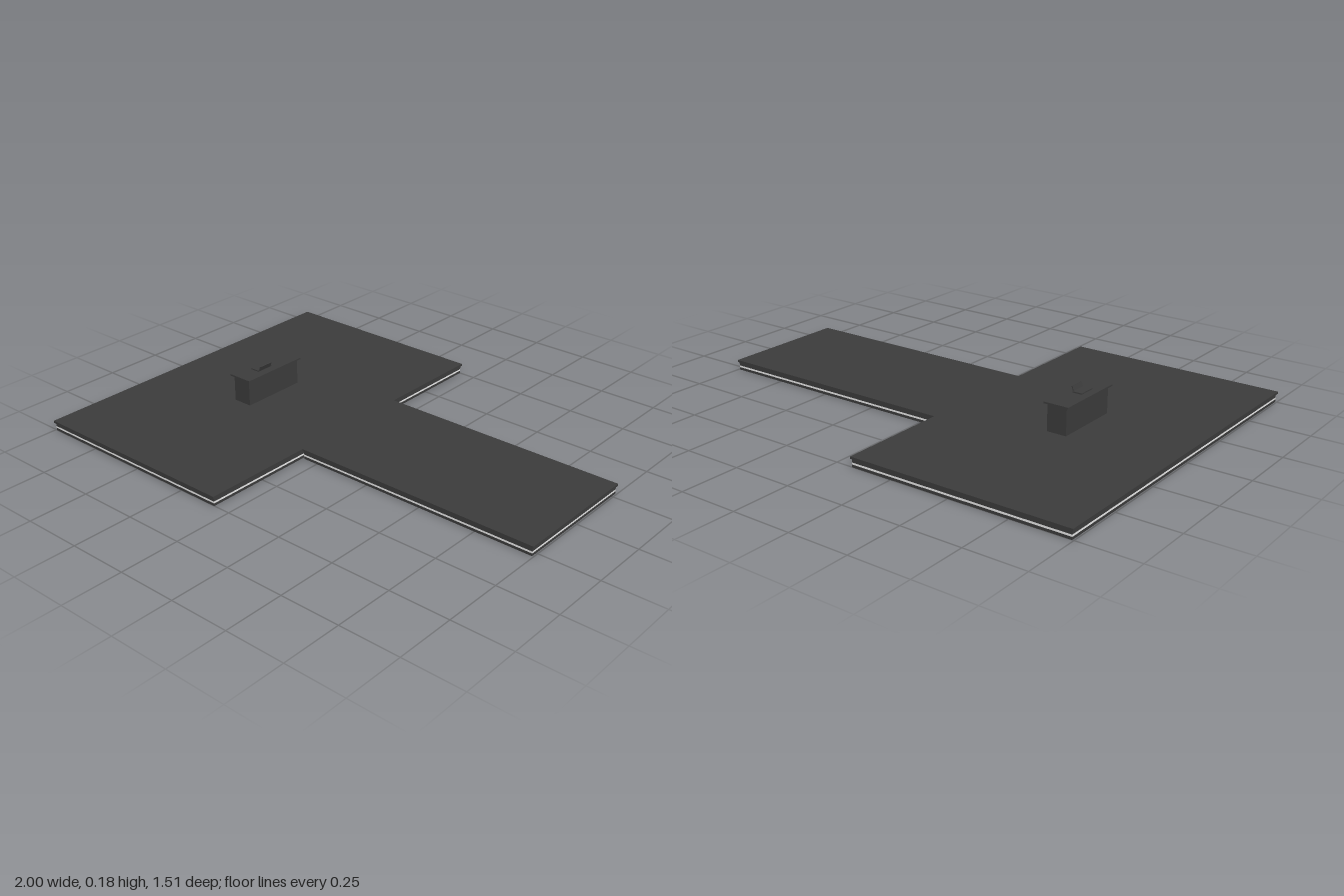
import * as THREE from 'three';

export function createModel() {
  const model = new THREE.Group();
  model.name = 'stageWithDesk';
  const charcoal = new THREE.MeshStandardMaterial({ color: 0x3b3b3b });
  charcoal.name = 'charcoal';
  const white = new THREE.MeshStandardMaterial({ color: 0xffffff });
  white.name = 'white';

  // Box given by its limits on each axis
  function box(name, [x0, x1], [y0, y1], [z0, z1], material, parent = model) {
    const mesh = new THREE.Mesh(new THREE.BoxGeometry(x1 - x0, y1 - y0, z1 - z0), material);
    mesh.position.set((x0 + x1) / 2, (y0 + y1) / 2, (z0 + z1) / 2);
    mesh.name = name;
    parent.add(mesh);
    return mesh;
  }

  // T-shaped floor with a small overhang
  const outline = new THREE.Shape([
    [-1, -0.757], [-0.07, -0.757], [-0.07, -0.28], [1, -0.28],
    [1, 0.28], [-0.07, 0.28], [-0.07, 0.757], [-1, 0.757],
  ].map(([x, y]) => new THREE.Vector2(x, y)));
  const floorGeometry = new THREE.ExtrudeGeometry(outline, { depth: 0.009, bevelEnabled: false });
  floorGeometry.rotateX(-Math.PI / 2);
  const floor = new THREE.Mesh(floorGeometry, charcoal);
  floor.name = 'stageFloor';
  floor.position.y = 0.034;
  model.add(floor);

  // Two platforms under the floor, each with a light strip around it
  const platforms = [
    ['main', [-0.994, -0.074], 0.751],
    ['runway', [-0.066, 0.994], 0.276],
  ];
  for (const [name, x, z] of platforms) {
    box(name + 'BasePlate', x, [0, 0.011], [-z, z], charcoal);
    box(name + 'LightStrip', x, [0.011, 0.019], [-z, z], white);
    box(name + 'Platform', x, [0.019, 0.034], [-z, z], charcoal);
  }

  // Desk
  const desk = new THREE.Group();
  desk.name = 'desk';
  model.add(desk);
  box('deskBody', [-0.577, -0.493], [0.043, 0.154], [-0.144, 0.144], charcoal, desk);
  box('deskTop', [-0.589, -0.481], [0.154, 0.161], [-0.154, 0.154], charcoal, desk);

  // Laptop with a leaning screen
  const laptop = new THREE.Group();
  laptop.name = 'laptop';
  model.add(laptop);
  box('laptopBase', [-0.557, -0.516], [0.161, 0.166], [-0.012, 0.064], charcoal, laptop);
  const screen = box('laptopScreen', [-0.516, -0.512], [0.163, 0.184], [-0.007, 0.058], charcoal, laptop);
  screen.rotation.z = -0.35;

  return model;
}
